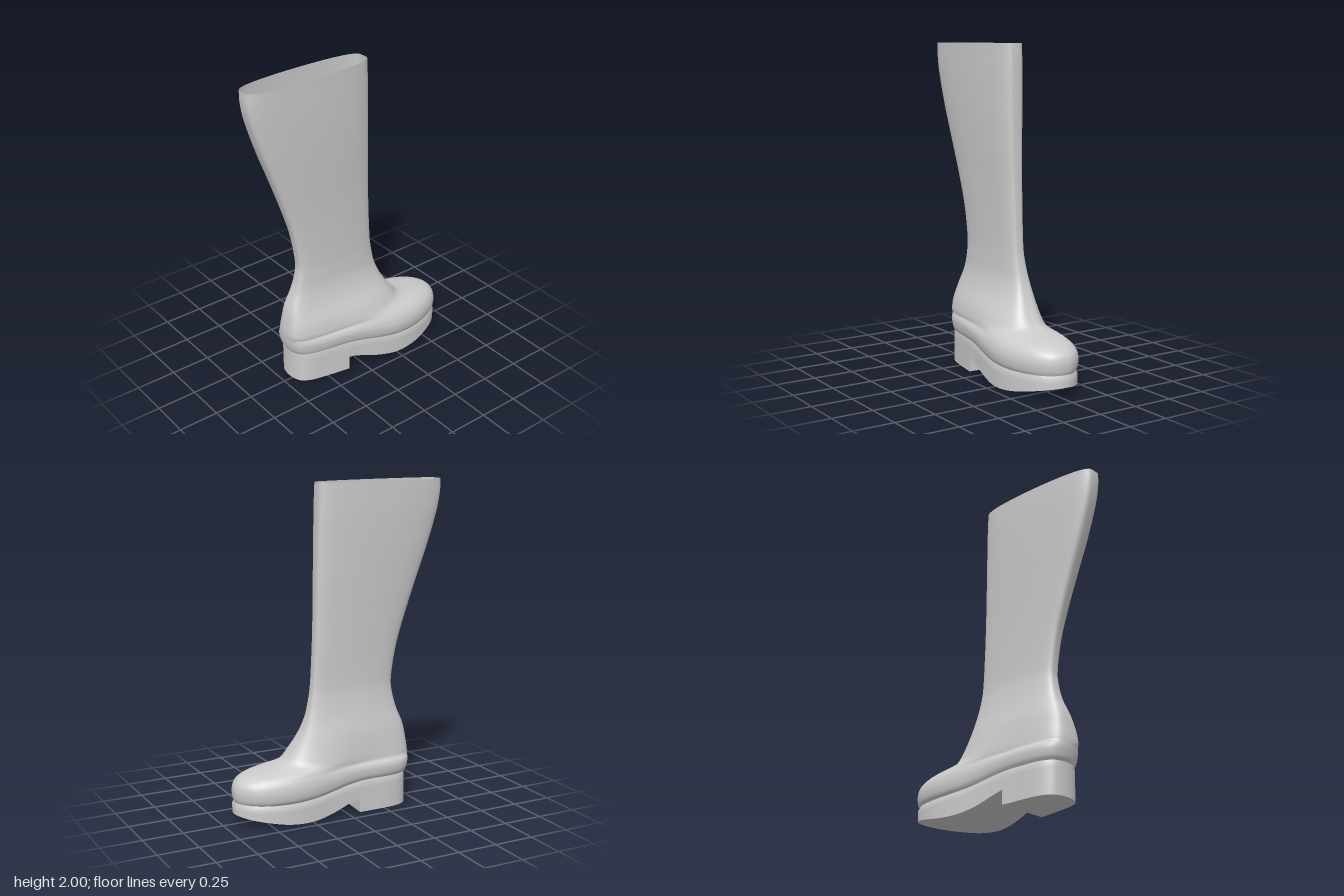
import * as THREE from 'three';
import { toCreasedNormals } from 'three/addons/utils/BufferGeometryUtils.js';

// smooth curve through rows of [position, value, value, ...]
function spline(rows) {
  const size = rows[0].length - 1;
  const f = new THREE.CubicInterpolant(rows.map(r => r[0]), rows.flatMap(r => r.slice(1)), size);
  return t => Array.from(f.evaluate(t));
}

// surface through cross-sections of equal length
function loft(sections, closed) {
  const n = sections[0].length, index = [];
  for (let i = 0; i < sections.length - 1; i++) {
    for (let j = 0; j < (closed ? n : n - 1); j++) {
      const k = (j + 1) % n;
      const a = i * n + j, b = i * n + k, c = a + n, d = b + n;
      index.push(a, c, b, b, c, d);
    }
  }
  const geo = new THREE.BufferGeometry();
  geo.setAttribute('position', new THREE.Float32BufferAttribute(sections.flat(2), 3));
  geo.setIndex(index);
  geo.computeVertexNormals();
  return geo;
}

// footprint: angle from heel (0) to toe (12 steps of 15 degrees), z on each side
const inner = [-.035, -.125, -.168, -.183, -.183, -.185, -.197, -.213, -.213, -.19, -.148, -.085, -.02];
const outer = [-.035, .05, .095, .12, .143, .165, .19, .208, .2, .17, .125, .06, -.02];
const footprint = spline(inner.map((z, i) => [i * Math.PI / 12, z, outer[i]]));

// top and underside heights of the sole along x
const soleTop = spline([[-.5, .2], [-.25, .2], [-.1, .198], [0, .185], [.1, .165], [.2, .148],
  [.3, .139], [.45, .135], [.7, .14]]);
const soleBottom = spline([[-.2, .1], [-.09, .09], [0, .066], [.1, .032], [.2, .01], [.28, .004],
  [.4, .012], [.55, .04], [.7, .072]]);

// point of a horizontal section: footprint blended (w) into a narrow oval
function outline(a, side, [xb, xf, zm, zp, w]) {
  const x = xb + (xf - xb) * (1 - Math.cos(a)) / 2;
  const f = footprint(a)[side > 0 ? 1 : 0];
  const foot = f * (f > 0 ? zp / .21 : zm / .215);
  const oval = (zp - zm) / 2 + side * (zp + zm) / 2 * Math.sqrt(Math.max(0, Math.sin(a)));
  return [x, foot + (oval - foot) * w];
}

// upper: height, back x, front x, -z width, +z width, oval blend, how far it follows the sole
const BASE = [-.44, .676, .195, .193, 0];
const upperRows = [
  [.2, ...BASE, 1],
  [.225, -.453, .684, .21, .205, 0, 1],
  [.265, -.462, .686, .215, .21, 0, .9],
  [.29, -.465, .672, .208, .2, 0, .6],
  [.303, -.466, .63, .195, .182, .05, .3],
  [.311, -.467, .56, .187, .167, .15, .12],
  [.322, -.467, .45, .18, .155, .3, 0],
  [.345, -.466, .375, .175, .145, .4, 0],
  [.4, -.458, .325, .165, .123, .55, 0],
  [.5, -.435, .263, .145, .072, .8, 0],
  [.6, -.393, .22, .12, .042, 1, 0],
  [.7, -.367, .195, .103, .033, 1, 0],
  [.8, -.361, .18, .095, .03, 1, 0],
  [1, -.395, .168, .098, .033, 1, 0],
  [1.2, -.457, .16, .104, .04, 1, 0],
  [1.4, -.528, .155, .112, .05, 1, 0],
  [1.6, -.602, .151, .12, .058, 1, 0],
  [1.8, -.665, .147, .126, .062, 1, 0],
  [1.92, -.688, .144, .127, .062, 1, 0],
  [2, -.69, .14, .127, .062, 1, 0],
];

function upperGeometry() {
  const at = spline(upperRows.map((r, i) => [i, ...r]));
  const rings = [], half = 56, steps = (upperRows.length - 1) * 5;
  for (let s = 0; s <= steps; s++) {
    const [y, ...section] = at(s / 5);
    const follow = section[5], w = Math.min(1, Math.max(0, section[4]));
    const ring = [];
    for (let i = 0; i < 2 * half; i++) {
      const a = Math.PI * (i <= half ? i : 2 * half - i) / half;
      const [x, z] = outline(a, i <= half ? 1 : -1, [...section.slice(0, 4), w]);
      ring.push([x, y + follow * (soleTop(x)[0] - .2), z]);
    }
    rings.push(ring);
  }
  return loft(rings, true);
}

// sole and heel: U-shaped sections from heel to toe, with a step at the heel breast
function soleGeometry() {
  const EDGE = [-.44, .685, .204, .2, 0];
  const cut = Math.acos((.1225 + .09) / .5625);
  const section = (a, heel) => {
    const skew = a === cut ? .01 : 0;
    const side = s => {
      const [tx, tz] = outline(a, s, BASE), [x, z] = outline(a, s, EDGE);
      const top = soleTop(tx)[0], ex = x - s * skew;
      return [[tx, top, tz], [ex, top - .02, z], [ex, top - .045, z],
        [ex, heel ? 0 : soleBottom(x)[0], z]];
    };
    return [...side(1), ...side(-1).reverse()];
  };
  const sections = [];
  for (let i = 0; i <= 24; i++) sections.push(section(i === 24 ? cut : cut * i / 24, true));
  for (let i = 0; i <= 44; i++) sections.push(section(i ? cut + (Math.PI - cut) * i / 44 : cut, false));
  return toCreasedNormals(loft(sections, false), .9);
}

export function createModel() {
  const group = new THREE.Group();
  group.name = 'boot';
  const material = new THREE.MeshStandardMaterial({ color: 0xcccccc, side: THREE.DoubleSide });
  const add = (name, geometry) => {
    const mesh = new THREE.Mesh(geometry, material);
    mesh.name = name;
    group.add(mesh);
  };
  add('upper', upperGeometry());
  add('soleAndHeel', soleGeometry());
  return group;
}
